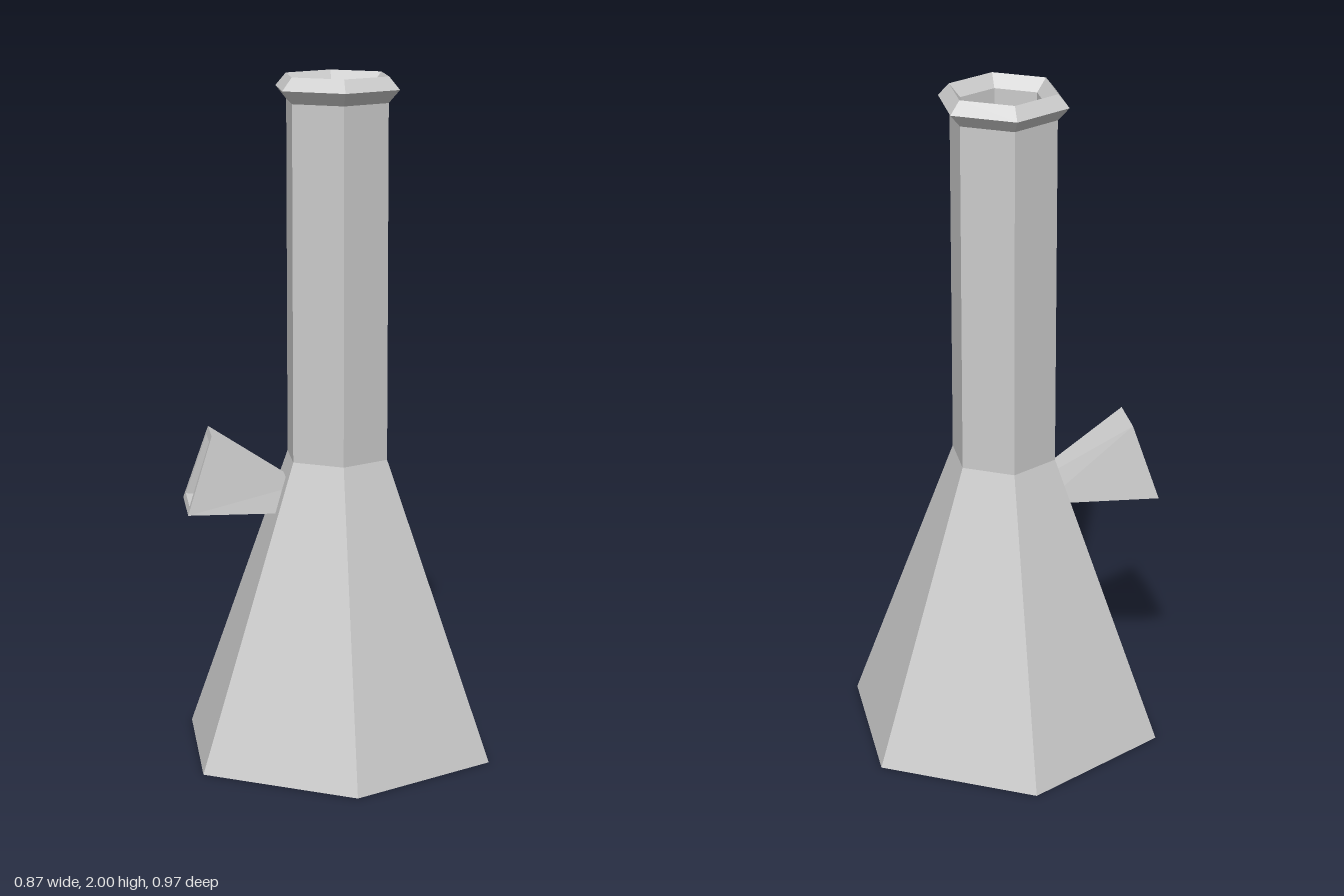
import * as THREE from 'three';

// Skin a series of four-cornered loops and close the last one
function loft(loops) {
  const pos = [], idx = [];
  loops.forEach((loop) => loop.forEach((p) => pos.push(...p)));
  for (let k = 0; k < loops.length - 1; k++) {
    for (let i = 0; i < 4; i++) {
      const a = k * 4 + i, b = k * 4 + ((i + 1) % 4);
      idx.push(a, a + 4, b + 4, a, b + 4, b);
    }
  }
  const e = (loops.length - 1) * 4;
  idx.push(e, e + 2, e + 1, e, e + 3, e + 2);
  const g = new THREE.BufferGeometry();
  g.setAttribute('position', new THREE.Float32BufferAttribute(pos, 3));
  g.setIndex(idx);
  const flat = g.toNonIndexed();
  flat.computeVertexNormals();
  return flat;
}

// Trapezoid loop from its lower edge (x, y, half width) and upper edge
const trapezoid = ([x0, y0, w0], [x1, y1, w1]) => [
  [x0, y0, w0], [x0, y0, -w0], [x1, y1, -w1], [x1, y1, w1],
];

export function createModel() {
  const group = new THREE.Group();
  const grey = new THREE.MeshStandardMaterial({ color: 0xcccccc, flatShading: true });
  grey.name = 'plain grey';

  // Six-sided flask: floor, cone, neck, flared lip and hollow mouth
  const profile = [
    [0, 0], [0.486, 0], [0.159, 0.886], [0.159, 1.925],
    [0.193, 1.963], [0.16, 2], [0.127, 1.963], [0.122, 0.9], [0, 0.9],
  ].map(([r, y]) => new THREE.Vector2(r, y));
  const flask = new THREE.Mesh(new THREE.LatheGeometry(profile, 6), grey);
  flask.name = 'flask';
  flask.position.x = 0.012;
  group.add(flask);

  // Flared side spout with a recessed opening
  const spout = new THREE.Mesh(loft([
    trapezoid([-0.1, 0.723, 0.038], [-0.1, 0.805, 0.025]),
    trapezoid([-0.435, 0.744, 0.11], [-0.362, 0.968, 0.07]),
    trapezoid([-0.429, 0.763, 0.08], [-0.368, 0.948, 0.05]),
    trapezoid([-0.24, 0.75, 0.05], [-0.205, 0.85, 0.033]),
  ]), grey);
  spout.name = 'sideSpout';
  group.add(spout);

  return group;
}
